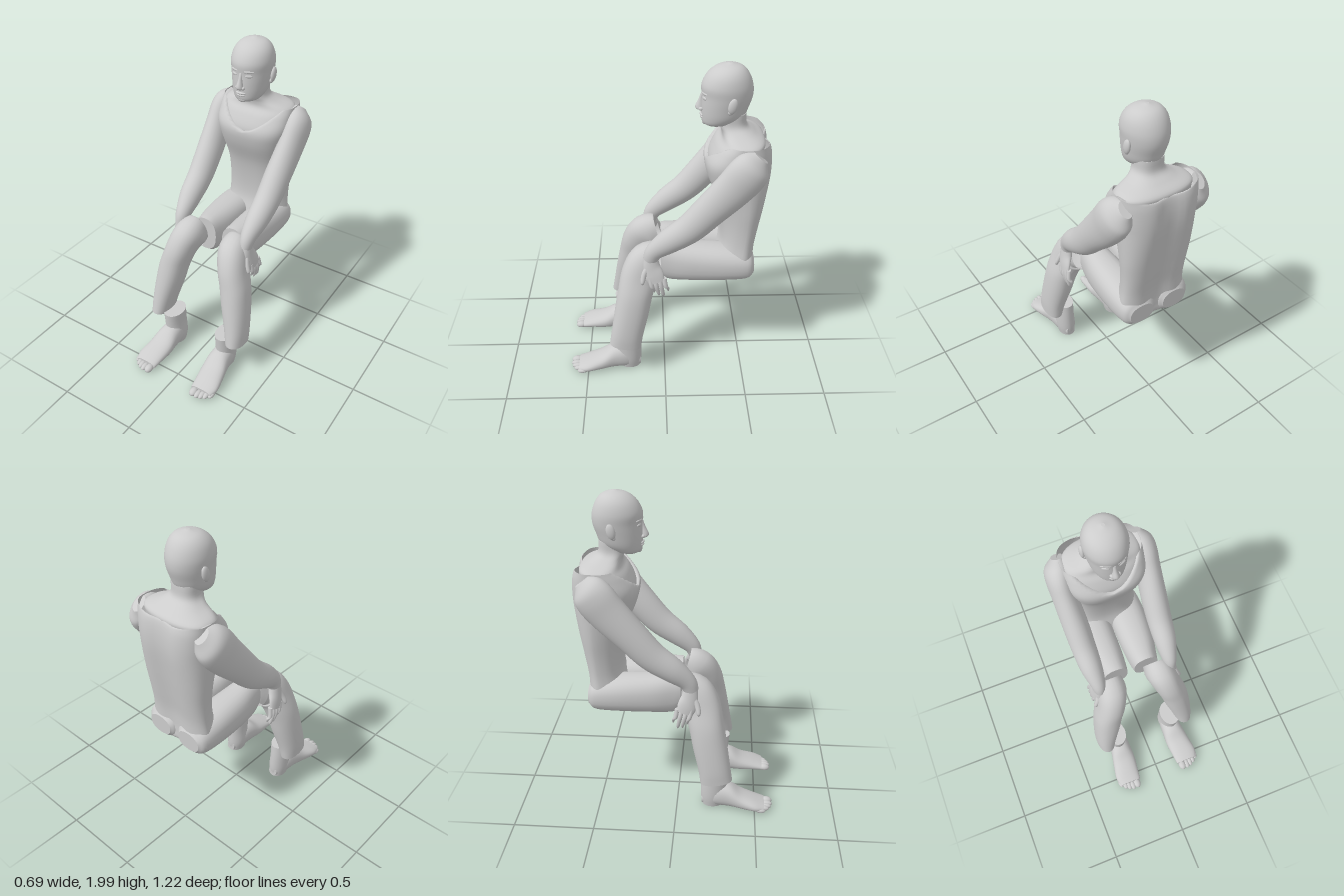
import * as THREE from 'three';

const grey = new THREE.MeshStandardMaterial({ color: 0xcccccc, side: THREE.DoubleSide });
grey.name = 'light grey';

// Smooth skin through elliptical rings [x, y, z, half width, half depth]
function loft(rows, { axis = null, power = 1, sides = 28, steps = 5, caps = [true, true], s = 1 } = {}) {
  const path = new THREE.CatmullRomCurve3(rows.map(r => new THREE.Vector3(r[0] * s, r[1], r[2])), false, 'catmullrom');
  const size = new THREE.CatmullRomCurve3(rows.map(r => new THREE.Vector3(r[3], r[4], 0)), false, 'catmullrom');
  const n = (rows.length - 1) * steps;
  const pos = [], idx = [];
  const X = new THREE.Vector3(1, 0, 0);
  const sp = v => Math.sign(v) * Math.abs(v) ** power;
  const ring = i => {
    const c = path.getPoint(i / n), h = size.getPoint(i / n);
    const t = axis ? axis.clone() : path.getTangent(i / n);
    t.x = 0;
    const V = t.normalize().cross(X);
    for (let j = 0; j < sides; j++) {
      const a = j / sides * Math.PI * 2;
      const p = c.clone().addScaledVector(X, sp(Math.cos(a)) * Math.max(h.x, 0.002))
        .addScaledVector(V, sp(Math.sin(a)) * Math.max(h.y, 0.002));
      pos.push(p.x, p.y, p.z);
    }
    return c;
  };
  for (let i = 0; i <= n; i++) ring(i);
  for (let i = 0; i < n; i++) for (let j = 0; j < sides; j++) {
    const k = (j + 1) % sides, a = i * sides + j, b = i * sides + k;
    idx.push(a, b, b + sides, a, b + sides, a + sides);
  }
  [0, n].forEach((i, end) => {
    if (!caps[end]) return;
    const start = pos.length / 3, c = ring(i);
    pos.push(c.x, c.y, c.z);
    for (let j = 0; j < sides; j++) {
      const a = start + j, b = start + (j + 1) % sides;
      end ? idx.push(a, b, start + sides) : idx.push(b, a, start + sides);
    }
  });
  const g = new THREE.BufferGeometry();
  g.setAttribute('position', new THREE.Float32BufferAttribute(pos, 3));
  g.setIndex(idx);
  g.computeVertexNormals();
  return g;
}

const UP = new THREE.Vector3(0, 1, 0), DOWN = new THREE.Vector3(0, -1, 0), FORWARD = new THREE.Vector3(0, 0, 1);
// Rows [y, front z, back z, half width] for the upright body parts
const upright = rows => rows.map(([y, f, b, w]) => [0, y, (f + b) / 2, w, (f - b) / 2]);

function add(parent, name, geometry) {
  const m = new THREE.Mesh(geometry, grey);
  m.name = name;
  parent.add(m);
}

function blob(parent, name, p, r, pitch = 0, yaw = 0) {
  const g = new THREE.SphereGeometry(1, 16, 12).scale(...r).rotateX(pitch).rotateY(yaw).translate(...p);
  add(parent, name, g);
}

function buildHead() {
  const head = new THREE.Group();
  head.name = 'head';
  add(head, 'skull', loft(upright([
    [1.643, -0.24, -0.33, 0.045], [1.66, -0.215, -0.39, 0.076], [1.70, -0.208, -0.45, 0.099],
    [1.76, -0.206, -0.475, 0.112], [1.82, -0.207, -0.492, 0.121], [1.88, -0.205, -0.49, 0.125],
    [1.94, -0.235, -0.467, 0.109], [1.98, -0.285, -0.43, 0.072], [2.0, -0.35, -0.37, 0.01],
  ]), { axis: UP, sides: 40 }));
  add(head, 'nose', loft([
    [0, 1.83, -0.212, 0.010, 0.008], [0, 1.79, -0.205, 0.012, 0.016], [0, 1.755, -0.20, 0.02, 0.027],
    [0, 1.738, -0.202, 0.024, 0.024], [0, 1.73, -0.208, 0.012, 0.008],
  ], { axis: UP, sides: 16 }));
  blob(head, 'upperLip', [0, 1.706, -0.214], [0.034, 0.009, 0.015]);
  blob(head, 'lowerLip', [0, 1.692, -0.215], [0.03, 0.009, 0.014]);
  blob(head, 'chin', [0, 1.662, -0.228], [0.03, 0.018, 0.015]);
  for (const s of [1, -1]) {
    blob(head, 'brow', [0.046 * s, 1.84, -0.22], [0.032, 0.008, 0.008], 0, 0.42 * s);
    blob(head, 'eye', [0.047 * s, 1.814, -0.219], [0.023, 0.009, 0.006], 0, 0.42 * s);
    blob(head, 'nostril', [0.02 * s, 1.742, -0.205], [0.012, 0.011, 0.014]);
    blob(head, 'ear', [0.124 * s, 1.795, -0.37], [0.015, 0.045, 0.026], -0.2);
    blob(head, 'earlobe', [0.117 * s, 1.757, -0.358], [0.011, 0.015, 0.014]);
  }
  return head;
}

function buildTorso() {
  const torso = new THREE.Group();
  torso.name = 'torso';
  add(torso, 'chestAndNeck', loft(upright([
    [1.36, -0.265, -0.57, 0.205], [1.45, -0.255, -0.572, 0.22], [1.53, -0.29, -0.572, 0.225],
    [1.575, -0.325, -0.57, 0.215], [1.612, -0.325, -0.515, 0.13], [1.65, -0.31, -0.468, 0.086], [1.72, -0.30, -0.46, 0.082],
  ]), { axis: UP, power: 0.8, sides: 40 }));
  // Sleeveless shirt, wider across the back, with a spine hollow and a scoop neckline
  const shirt = loft(upright([
    [0.655, -0.38, -0.49, 0.10], [0.70, -0.31, -0.545, 0.175], [0.76, -0.31, -0.55, 0.188], [0.82, -0.32, -0.55, 0.186],
    [0.92, -0.345, -0.555, 0.176], [1.05, -0.34, -0.575, 0.178], [1.2, -0.31, -0.598, 0.193], [1.35, -0.25, -0.617, 0.22],
    [1.45, -0.235, -0.62, 0.24], [1.53, -0.28, -0.612, 0.242], [1.585, -0.33, -0.595, 0.24],
  ]), { axis: UP, power: 0.7, sides: 56, caps: [true, false] });
  const p = shirt.attributes.position;
  for (let i = 0; i < p.count; i++) {
    const x = p.getX(i), y = p.getY(i), z = p.getZ(i);
    const back = THREE.MathUtils.smoothstep(-z, 0.36, 0.5);
    const side = Math.min(Math.abs(x) / 0.2, 1);
    const low = z > -0.45 ? 1.44 : 1.56;
    const flare = 0.2 * back * (1 - THREE.MathUtils.smoothstep(y, 1.1, 1.5));
    p.setXYZ(i, x * (1 + flare), Math.min(y, low + (1.585 - low) * side ** 1.5),
      z + 0.03 * back * Math.exp(-((x / 0.07) ** 2)));
  }
  shirt.computeVertexNormals();
  add(torso, 'shirt', shirt);
  return torso;
}

function buildArm(s) {
  const arm = new THREE.Group();
  arm.name = s > 0 ? 'leftArm' : 'rightArm';
  add(arm, 'armAndForearm', loft([
    [0.235, 1.545, -0.525, 0.035, 0.05], [0.25, 1.505, -0.49, 0.072, 0.1], [0.26, 1.45, -0.45, 0.077, 0.118],
    [0.26, 1.36, -0.38, 0.074, 0.114], [0.252, 1.22, -0.255, 0.078, 0.1], [0.248, 1.10, -0.145, 0.076, 0.09],
    [0.244, 1.01, -0.025, 0.068, 0.076], [0.238, 0.935, 0.06, 0.048, 0.056], [0.238, 0.87, 0.09, 0.034, 0.044],
  ], { s }));
  const hand = new THREE.Group();
  hand.name = 'hand';
  arm.add(hand);
  add(hand, 'palm', loft([
    [0.238, 0.89, 0.085, 0.032, 0.04], [0.25, 0.83, 0.08, 0.03, 0.053],
    [0.268, 0.78, 0.065, 0.022, 0.058], [0.28, 0.74, 0.05, 0.015, 0.05],
  ], { s }));
  for (let i = 0; i < 4; i++) {
    const z = 0.09 - i * 0.028, end = [0.655, 0.63, 0.625, 0.665][i];
    add(hand, 'finger', loft([
      [0.275, 0.765, z, 0.014, 0.015], [0.285, 0.71, z - 0.01, 0.013, 0.014],
      [0.277, end + 0.025, z - 0.022, 0.011, 0.011], [0.27, end, z - 0.025, 0.004, 0.004],
    ], { s, sides: 10, axis: DOWN }));
  }
  add(hand, 'thumb', loft([
    [0.25, 0.84, 0.10, 0.018, 0.018], [0.27, 0.79, 0.125, 0.016, 0.017],
    [0.288, 0.745, 0.135, 0.013, 0.013], [0.288, 0.725, 0.135, 0.004, 0.004],
  ], { s, sides: 10 }));
  return arm;
}

function buildLeg(s) {
  const leg = new THREE.Group();
  leg.name = s > 0 ? 'leftLeg' : 'rightLeg';
  add(leg, 'thigh', loft([
    [0.115, 0.765, -0.545, 0.08, 0.06], [0.118, 0.772, -0.5, 0.112, 0.098], [0.12, 0.78, -0.35, 0.118, 0.115],
    [0.113, 0.782, -0.15, 0.108, 0.125], [0.105, 0.785, -0.03, 0.09, 0.13], [0.103, 0.8, 0.02, 0.08, 0.115],
  ], { s, axis: FORWARD, power: 0.85 }));
  // Trouser leg bends down from the open cut behind the knee
  add(leg, 'trouserLeg', loft([
    [0.155, 0.83, 0.035, 0.078, 0.112], [0.166, 0.812, 0.1, 0.095, 0.122], [0.192, 0.74, 0.15, 0.092, 0.115],
    [0.226, 0.63, 0.18, 0.09, 0.108], [0.25, 0.5, 0.205, 0.084, 0.106],
    [0.276, 0.35, 0.235, 0.069, 0.10], [0.287, 0.255, 0.25, 0.057, 0.10],
  ], { s, power: 0.9, caps: [false, false] }));
  const foot = new THREE.Group();
  foot.name = 'foot';
  leg.add(foot);
  add(foot, 'ankle', loft([
    [0.2, 0.28, 0.245, 0.064, 0.086], [0.2, 0.18, 0.238, 0.062, 0.084],
    [0.195, 0.08, 0.233, 0.062, 0.08], [0.195, 0.012, 0.228, 0.05, 0.066],
  ], { s, axis: DOWN }));
  add(foot, 'instep', loft([
    [0.195, 0.05, 0.158, 0.03, 0.035], [0.197, 0.09, 0.24, 0.062, 0.08], [0.2, 0.09, 0.33, 0.072, 0.08],
    [0.207, 0.064, 0.41, 0.081, 0.054], [0.22, 0.046, 0.5, 0.083, 0.036], [0.217, 0.035, 0.56, 0.072, 0.024],
  ], { s, axis: FORWARD, power: 0.9 }));
  // Toes run from the big one on the inside to the small one outside
  const toes = [[0.176, 0.578, 0.025], [0.209, 0.58, 0.018], [0.235, 0.572, 0.017], [0.259, 0.558, 0.017], [0.284, 0.535, 0.018]];
  for (const [x, z, r] of toes) blob(foot, 'toe', [x * s, 0.03, z], [r, r * 0.9, 0.035], 0.1);
  return leg;
}

export function createModel() {
  const man = new THREE.Group();
  man.name = 'seatedMan';
  man.add(buildHead(), buildTorso());
  for (const s of [1, -1]) man.add(buildArm(s), buildLeg(s));
  return man;
}
